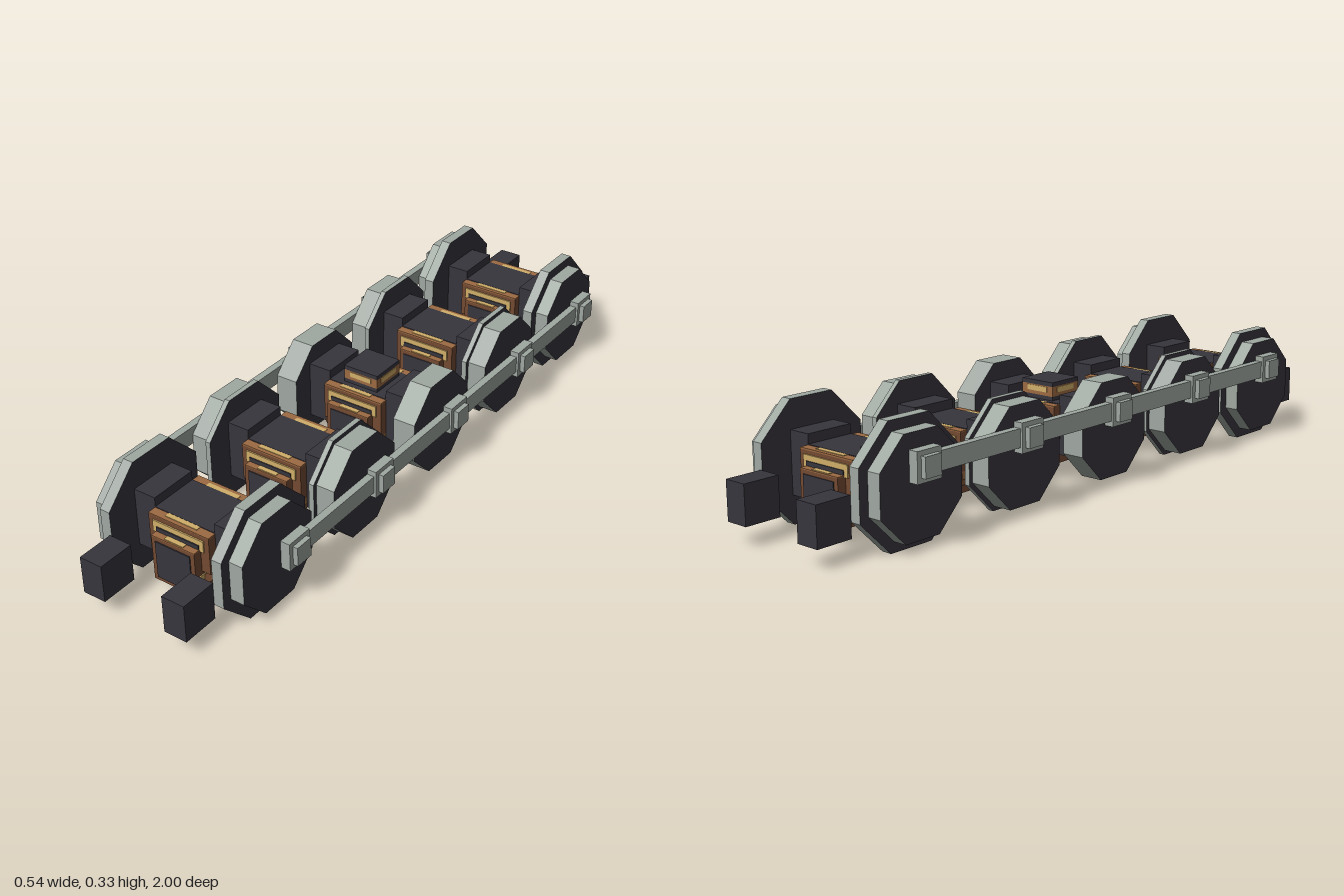
import * as THREE from 'three';

const mat = (name, color) => {
  const m = new THREE.MeshStandardMaterial({ color });
  m.name = name;
  return m;
};

export function createModel() {
  const steel = mat('pale steel', 0xa0a8a2);
  const dark = mat('dark iron', 0x37353d);
  const brown = mat('dark copper', 0x734a32);
  const copper = mat('light copper', 0x9c6a42);
  const gold = mat('brass', 0xd0ae68);
  const axleY = 0.1625;

  const root = new THREE.Group();
  root.name = 'drivingWheelSet';

  // Box given by its extents on each axis
  const box = (parent, name, m, x0, x1, y0, y1, z0, z1) => {
    const mesh = new THREE.Mesh(new THREE.BoxGeometry(Math.abs(x1 - x0), y1 - y0, Math.abs(z1 - z0)), m);
    mesh.position.set((x0 + x1) / 2, (y0 + y1) / 2, (z0 + z1) / 2);
    mesh.name = name;
    parent.add(mesh);
    return mesh;
  };

  // Octagonal disc on the x axis: steel rim, dark faces, flat side on top
  const disc = (parent, name, apothem, x0, x1) => {
    const r = apothem / Math.cos(Math.PI / 8);
    const g = new THREE.CylinderGeometry(r, r, Math.abs(x1 - x0), 8).toNonIndexed();
    g.rotateY(Math.PI / 8).rotateZ(Math.PI / 2);
    g.computeVertexNormals();
    const mesh = new THREE.Mesh(g, [steel, dark, dark]);
    mesh.position.set((x0 + x1) / 2, axleY, 0);
    mesh.name = name;
    parent.add(mesh);
  };

  // Diagonal brace between gearbox and lower casing
  const brace = (parent, s, z0, z1) => {
    const pts = [[0.066, 0.062], [0.095, 0.09], [0.095, 0.112], [0.085, 0.112], [0.066, 0.092]];
    const shape = new THREE.Shape(pts.map(([x, y]) => new THREE.Vector2(x * s, y)));
    const g = new THREE.ExtrudeGeometry(shape, { depth: z1 - z0, bevelEnabled: false });
    const mesh = new THREE.Mesh(g, [brown, copper]);
    mesh.position.z = z0;
    mesh.name = 'brace';
    parent.add(mesh);
  };

  // Flange apothem and thickness for each axle, front to back
  const axles = [[0.1625, 0.03], [0.147, 0.015], null, [0.147, 0.015], [0.1625, 0.03]];
  axles.forEach((flange, i) => {
    const axle = new THREE.Group();
    axle.name = 'axle' + (i + 1);
    axle.position.z = 0.73 - i * 0.365;
    root.add(axle);

    for (const s of [1, -1]) {
      // Wheels and axle boxes
      if (flange) disc(axle, 'wheelFlange', flange[0], s * 0.16, s * (0.16 + flange[1]));
      disc(axle, 'wheelTread', 0.135, s * (0.16 + (flange ? flange[1] : 0.003)), s * 0.23);
      box(axle, 'axleBox', dark, s * 0.094, s * 0.163, 0.078, 0.247, -0.07, 0.07);
      brace(axle, s, -0.09, -0.05);
      brace(axle, s, 0.05, 0.09);

      // Gearbox end: brass band and dark slot
      box(axle, 'brassBand', gold, -0.08, 0.08, 0.172, 0.205, s * 0.094, s * 0.099);
      box(axle, 'bandSlot', dark, -0.067, 0.067, 0.178, 0.19, s * 0.098, s * 0.102);
      // Lower casing end: dark panel, and brass plate on its ledge
      box(axle, 'endPanel', dark, -0.055, 0.055, 0.055, 0.164, s * 0.119, s * 0.123);
      box(axle, 'ledge', copper, -0.068, 0.068, 0.174, 0.177, s * 0.096, s * 0.12);
      box(axle, 'ledgePlate', gold, -0.03, 0.03, 0.175, 0.179, s * 0.1, s * 0.116);
      // Copper strip and brass inlay on the gearbox top
      box(axle, 'topStrip', copper, -0.095, 0.095, 0.215, 0.219, s * 0.07, s * 0.095);
      box(axle, 'topInlay', gold, -0.05, 0.05, 0.217, 0.2205, s * 0.07, s * 0.084);
      // Brass strips on the casing flanks
      for (const z of [-0.095, 0.095])
        box(axle, 'flankPlate', gold, s * 0.067, s * 0.071, 0.06, 0.1, z - 0.012, z + 0.012);
    }
    box(axle, 'gearbox', brown, -0.095, 0.095, 0.11, 0.217, -0.095, 0.095);
    box(axle, 'gearboxLid', dark, -0.0945, 0.0945, 0.214, 0.221, -0.07, 0.07);
    box(axle, 'lowerCasing', brown, -0.068, 0.068, 0.044, 0.175, -0.12, 0.12);
    box(axle, 'bottomPlate', dark, -0.062, 0.062, 0.042, 0.047, -0.113, 0.113);
  });

  // Pivot block above the middle axle
  const pivot = new THREE.Group();
  pivot.name = 'pivot';
  root.add(pivot);
  box(pivot, 'pivotBase', dark, -0.055, 0.055, 0.218, 0.232, -0.055, 0.055);
  box(pivot, 'pivotBody', copper, -0.055, 0.055, 0.232, 0.26, -0.055, 0.055);
  for (let k = 0; k < 4; k++) {
    const side = new THREE.Group();
    side.name = 'pivotSide';
    side.rotation.y = k * Math.PI / 2;
    pivot.add(side);
    box(side, 'pivotPlate', gold, -0.035, 0.035, 0.242, 0.257, 0.053, 0.0565);
  }
  box(pivot, 'pivotCap', dark, -0.055, 0.055, 0.26, 0.272, -0.055, 0.055);

  // Coupling rods, the two sides a quarter turn apart
  for (const [s, y, dz] of [[1, 0.165, -0.05], [-1, 0.217, 0]]) {
    const rod = new THREE.Group();
    rod.name = s > 0 ? 'leftCouplingRod' : 'rightCouplingRod';
    rod.position.set(0, y, dz);
    root.add(rod);
    box(rod, 'rod', steel, s * 0.229, s * 0.251, -0.025, 0.025, -0.74, 0.74);
    for (let i = -2; i <= 2; i++) {
      const z = i * 0.365;
      box(rod, 'bearing', steel, s * 0.226, s * 0.257, -0.04, 0.04, z - 0.04, z + 0.04);
      box(rod, 'crankPin', steel, s * 0.25, s * 0.271, -0.027, 0.027, z - 0.027, z + 0.027);
    }
  }

  // End blocks
  for (const s of [1, -1])
    for (const e of [1, -1])
      box(root, 'endBlock', dark, s * 0.095, s * 0.163, 0.056, 0.163, e * 0.895, e);

  return root;
}
